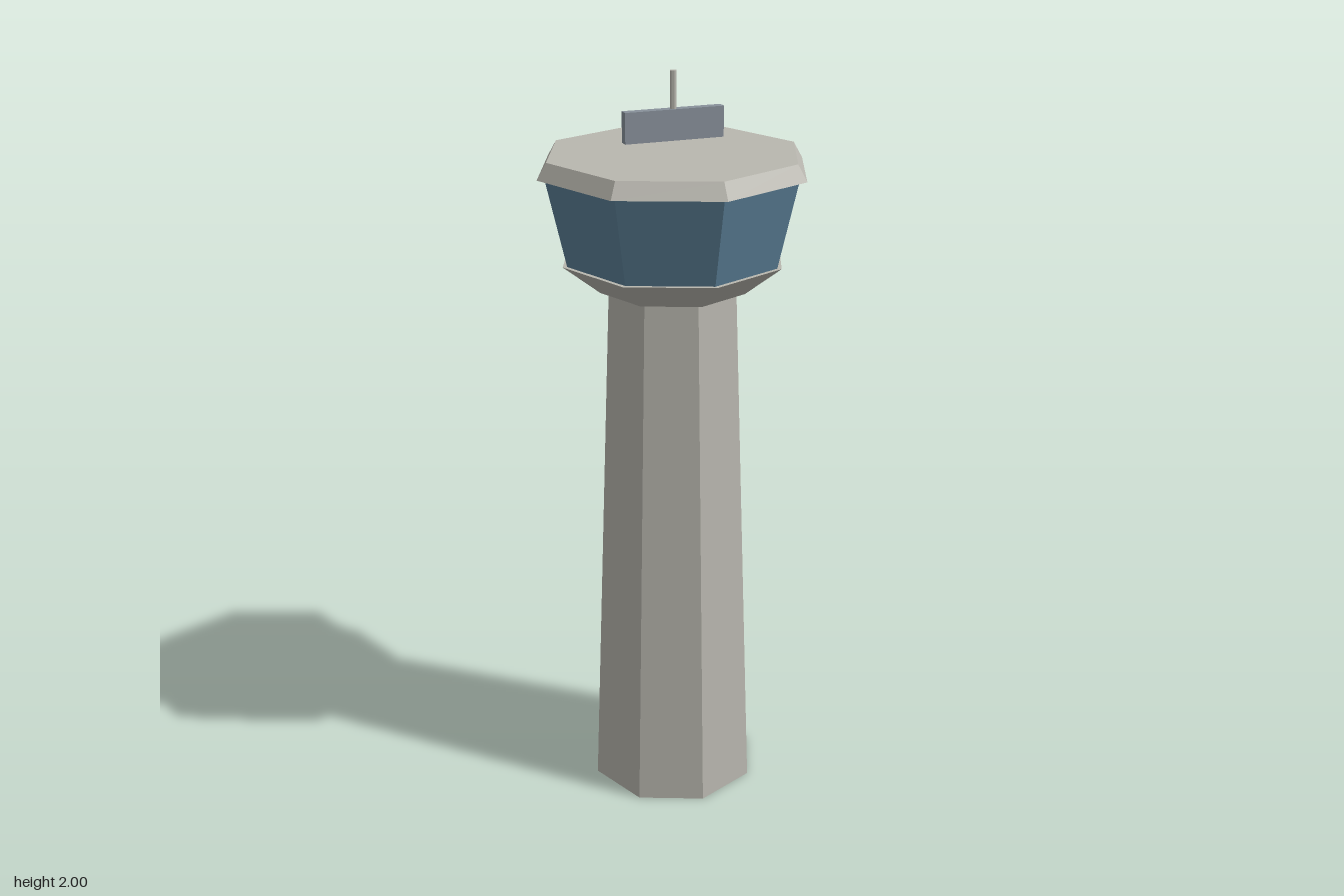
import * as THREE from 'three';

export function createModel() {
  const model = new THREE.Group();
  model.name = 'controlTower';

  const mat = (name, color) => {
    const m = new THREE.MeshStandardMaterial({ color, flatShading: true });
    m.name = name;
    return m;
  };
  const concrete = mat('concrete', 0xb9b7af);
  const glass = mat('blueGlass', 0x5b7f96);
  const metal = mat('greyMetal', 0x88919b);

  const add = (name, geometry, material, y) => {
    const mesh = new THREE.Mesh(geometry, material);
    mesh.name = name;
    mesh.position.y = y;
    model.add(mesh);
  };

  // Octagonal tapered section between two heights
  const section = (name, y0, y1, r0, r1, material) =>
    add(name, new THREE.CylinderGeometry(r1, r0, y1 - y0, 8), material, (y0 + y1) / 2);

  section('shaft', 0, 1.452, 0.235, 0.177, concrete);
  section('cabBase', 1.45, 1.528, 0.2, 0.298, concrete);
  section('cabWindows', 1.528, 1.755, 0.286, 0.338, glass);
  section('roof', 1.755, 1.797, 0.358, 0.333, concrete);

  // Radar bar floating above the roof, with a thin mast on it
  add('radarBar', new THREE.BoxGeometry(0.263, 0.078, 0.025), metal, 1.867);
  section('mast', 1.87, 2, 0.009, 0.009, concrete);

  return model;
}
